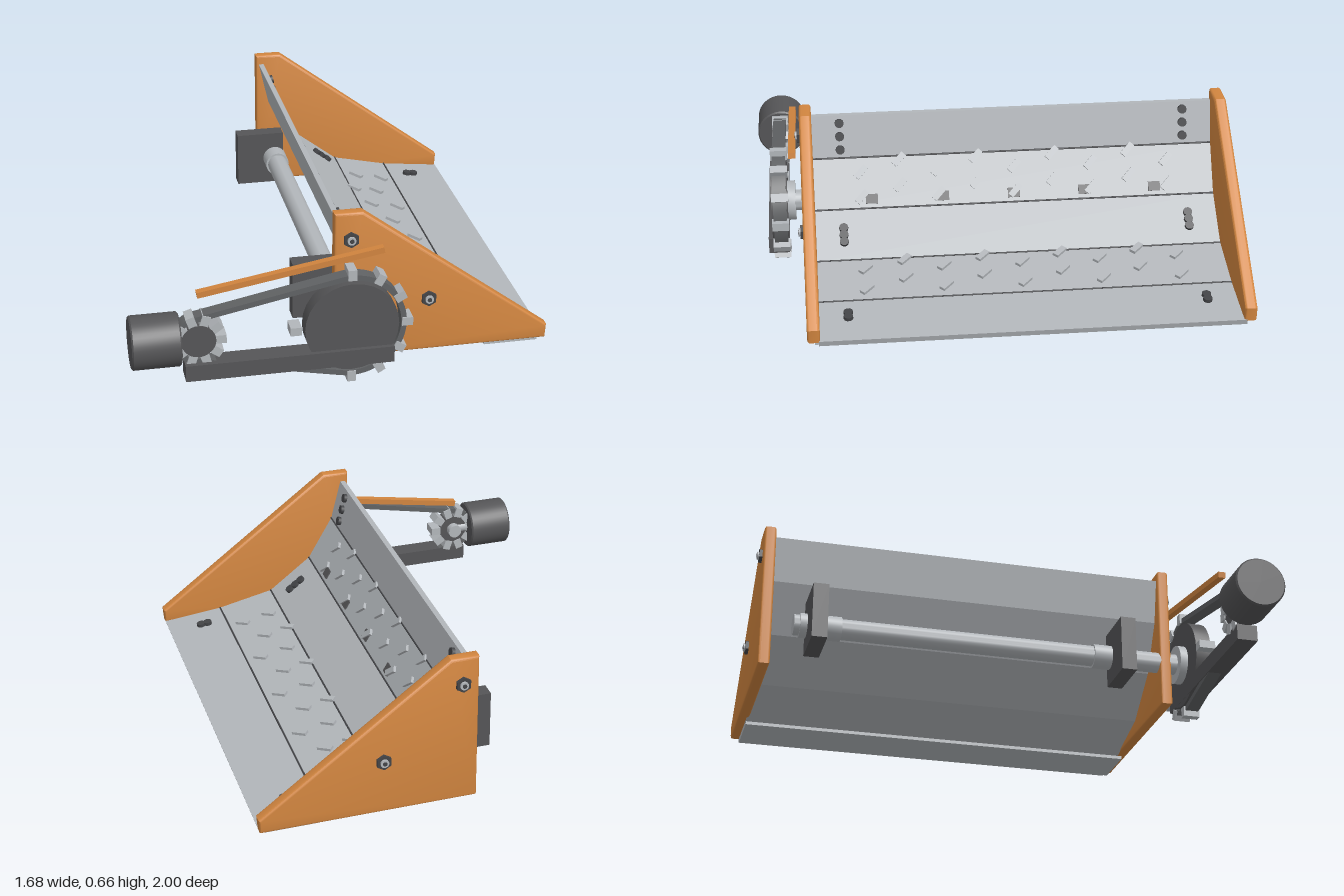
import * as THREE from 'three';
import { toCreasedNormals } from 'three/addons/utils/BufferGeometryUtils.js';

const mat = (name, color) => {
  const m = new THREE.MeshStandardMaterial({ color });
  m.name = name;
  return m;
};

export function createModel() {
  const root = new THREE.Group();
  root.name = 'scoopWithChainDrive';
  const orange = mat('orange paint', 0xd1853f);
  const steel = mat('light steel', 0xb2b6ba);
  const dark = mat('dark grey', 0x555557);
  const chainGrey = mat('chain grey', 0x606264);
  const boltGrey = mat('bolt grey', 0x434447);

  const add = (name, geo, material, x = 0, y = 0, z = 0, parent = root) => {
    const m = new THREE.Mesh(geo, material);
    m.name = name;
    m.position.set(x, y, z);
    parent.add(m);
    return m;
  };
  const box = (name, material, x0, x1, y0, y1, z0, z1) =>
    add(name, new THREE.BoxGeometry(x1 - x0, y1 - y0, z1 - z0), material,
      (x0 + x1) / 2, (y0 + y1) / 2, (z0 + z1) / 2);
  // Cylinder lying along z
  const disc = (name, material, r, x, y, z0, z1, sides = 32) =>
    add(name, toCreasedNormals(new THREE.CylinderGeometry(r, r, z1 - z0, sides).rotateX(Math.PI / 2), 0.6),
      material, x, y, (z0 + z1) / 2);
  const polygon = pts => new THREE.Shape(pts.map(p => new THREE.Vector2(...p)));

  // Side plates with softened edges
  const B = 0.01;
  const plateShape = polygon([[-0.025, 0.055], [0.825, 0.055], [0.828, 0.098], [0.075, 0.66], [-0.025, 0.66]]);
  for (const [name, z] of [['frontSidePlate', 0.75], ['backSidePlate', -0.982]]) {
    const g = new THREE.ExtrudeGeometry(plateShape,
      { depth: 0.05 - 2 * B, bevelSize: B, bevelThickness: B, bevelSegments: 3 });
    add(name, toCreasedNormals(g, 0.6), orange, 0, 0, z + B);
  }

  // Plate bolts with washers
  for (const [x, y] of [[0.03, 0.56], [0.345, 0.275]]) {
    for (const [z, s] of [[0.8, 1], [-0.982, -1]]) {
      const span = (a, b) => [Math.min(z + s * a, z + s * b), Math.max(z + s * a, z + s * b)];
      disc('plateBoltHead', boltGrey, 0.032, x, y, ...span(0, 0.012), 6);
      disc('plateBoltCollar', steel, 0.017, x, y, ...span(0, 0.02), 16);
      disc('plateBoltTip', boltGrey, 0.009, x, y, ...span(0, 0.022), 12);
    }
  }

  // Folded trough
  const inner = [[0.0, 0.63], [0.045, 0.455], [0.155, 0.27], [0.34, 0.13], [0.58, 0.078], [0.835, 0.05]];
  const outer = [[0.828, 0.026], [0.58, 0.042], [0.325, 0.102], [0.132, 0.25], [0.02, 0.445], [-0.022, 0.63]];
  add('trough', new THREE.ExtrudeGeometry(polygon([...inner, ...outer]),
    { depth: 1.7, bevelEnabled: false }), steel, 0, 0, -0.945);
  box('cuttingEdge', steel, 0.59, 0.81, 0.022, 0.036, -0.945, 0.77);

  // Seam strips at the folds
  for (const [x, y] of inner.slice(1, 5)) disc('foldSeam', boltGrey, 0.004, x, y, -0.935, 0.753, 8);

  // Place a small part on the trough, on the face that starts at fold i
  const onTrough = (name, geo, material, i, x, z, turn = 0) => {
    const [a, b] = [inner[i], inner[i + 1]];
    const y = a[1] + (b[1] - a[1]) * (x - a[0]) / (b[0] - a[0]);
    const m = add(name, geo, material, x, y, z);
    m.rotation.set(0, turn, Math.atan2(b[1] - a[1], b[0] - a[0]), 'ZYX');
    return m;
  };

  // Staggered cleats
  const cleat = new THREE.BoxGeometry(0.062, 0.024, 0.026);
  for (let k = 0; k < 9; k++) {
    const z = -0.735 + k * 0.161;
    const odd = k % 2;
    for (const x of odd ? [0.053, 0.108] : [0.077, 0.13]) onTrough('wallCleat', cleat, steel, 1, x, z, -0.75);
    for (const x of odd ? [0.355, 0.46] : [0.4, 0.52]) onTrough('floorCleat', cleat, steel, 3, x, z, -0.75);
  }

  // Dark pads along the lower wall
  for (let k = 0; k < 5; k++)
    onTrough('wallPad', new THREE.BoxGeometry(0.04, 0.012, 0.05), dark, 1, 0.135, -0.68 + k * 0.298);

  // Trough bolts
  const boltGeo = new THREE.CylinderGeometry(0.019, 0.019, 0.028, 10);
  for (const z of [0.635, -0.81]) {
    for (const x of [0.008, 0.022, 0.036]) onTrough('troughBolt', boltGeo, boltGrey, 0, x, z);
    for (const x of [0.225, 0.25, 0.275]) onTrough('troughBolt', boltGeo, boltGrey, 2, x, z);
    for (const x of [0.665, 0.695]) onTrough('troughBolt', boltGeo, boltGrey, 4, x, z);
  }

  // Rear shaft, collars and carrying brackets
  const AX = 0.01, AY = 0.25, MX = -0.585;
  disc('driveShaft', steel, 0.044, AX, AY, -0.84, 0.87);
  for (const [z0, z1] of [[-0.815, -0.64], [0.455, 0.625]]) disc('shaftCollar', steel, 0.052, AX, AY, z0, z1);
  for (const [z0, z1] of [[-0.785, -0.72], [0.535, 0.6]]) box('shaftBracket', dark, -0.16, 0.05, 0.13, 0.37, z0, z1);

  // Sprockets: disc, hub and square teeth
  const sprocket = (name, x, r, toothR, angles) => {
    disc(name + 'Disc', dark, r, x, AY, 0.863, 0.93, 28);
    disc(name + 'Hub', steel, r * 0.45, x, AY, 0.83, 0.865, 24);
    for (const a of angles) {
      const t = add(name + 'Tooth', new THREE.BoxGeometry(0.044, 0.034, 0.07), steel,
        x + toothR * Math.cos(a), AY + toothR * Math.sin(a), 0.893);
      t.rotation.z = a;
    }
  };
  const deg = Math.PI / 180;
  sprocket('largeSprocket', AX, 0.185, 0.219, [-90, -60, -30, 0, 30, 60, 90, 180].map(a => a * deg));
  sprocket('smallSprocket', MX, 0.067, 0.085, Array.from({ length: 10 }, (_, k) => k * 36 * deg));

  // Chain loop wrapped round both sprockets
  const loop = (path, rSmall, rLarge) => {
    const a = Math.acos((rSmall - rLarge) / (AX - MX));
    path.absarc(AX, AY, rLarge, -a, a, false);
    path.absarc(MX, AY, rSmall, a, 2 * Math.PI - a, false);
    path.closePath();
    return path;
  };
  const chain = loop(new THREE.Shape(), 0.1, 0.217);
  chain.holes.push(loop(new THREE.Path(), 0.078, 0.195));
  add('chain', toCreasedNormals(new THREE.ExtrudeGeometry(chain,
    { depth: 0.056, bevelEnabled: false, curveSegments: 24 }), 0.6), chainGrey, 0, 0, 0.866);

  // Support arm
  box('driveArm', dark, -0.64, 0.175, 0.09, 0.157, 0.862, 0.948);

  // Motor with softened rims, lying along x
  const motor = new THREE.LatheGeometry([[0, -0.095], [0.099, -0.095], [0.105, -0.089], [0.105, 0.089],
    [0.099, 0.095], [0, 0.095]].map(p => new THREE.Vector2(...p)), 40).rotateZ(Math.PI / 2);
  add('motor', toCreasedNormals(motor, 0.5), dark, -0.75, AY, 0.89);
  add('motorShaft', new THREE.CylinderGeometry(0.025, 0.025, 0.08, 20).rotateZ(Math.PI / 2), steel, -0.625, AY, 0.88);

  // Slanted chain guard
  const guard = add('chainGuard', new THREE.BoxGeometry(0.74, 0.024, 0.03), orange, -0.213, 0.465, 0.835);
  guard.rotation.z = Math.atan2(0.122, 0.72);

  return root;
}
